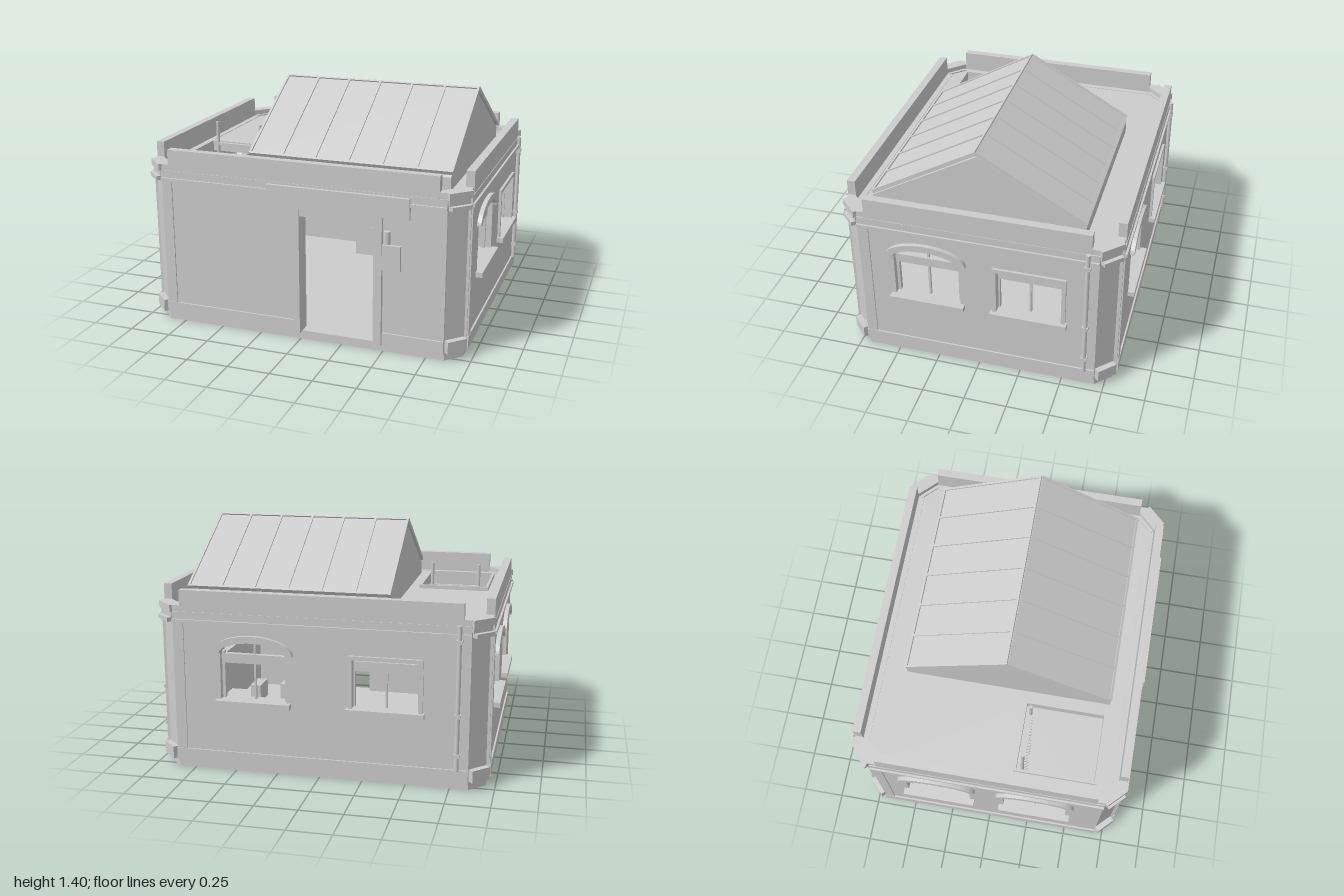
import * as THREE from 'three';

const stone = new THREE.MeshStandardMaterial({ color: 0xcccccc });
stone.name = 'pale grey';

function add(parent, name, geo) {
  const m = new THREE.Mesh(geo, stone);
  m.name = name;
  parent.add(m);
  return m;
}
// box given by its limits
function box(parent, name, x0, x1, y0, y1, z0, z1) {
  const m = add(parent, name, new THREE.BoxGeometry(x1 - x0, y1 - y0, z1 - z0));
  m.position.set((x0 + x1) / 2, (y0 + y1) / 2, (z0 + z1) / 2);
  return m;
}
function rod(parent, name, x, z, y0, y1, r) {
  const m = add(parent, name, new THREE.CylinderGeometry(r, r, y1 - y0, 12));
  m.position.set(x, (y0 + y1) / 2, z);
  return m;
}
function extrude(shape, depth) {
  return new THREE.ExtrudeGeometry(shape, { depth, bevelEnabled: false, curveSegments: 16 });
}
function path(points, Type = THREE.Path) {
  return new Type(points.map(p => new THREE.Vector2(p[0], p[1])));
}
function rectPath(x0, x1, y0, y1, Type) {
  return path([[x0, y0], [x1, y0], [x1, y1], [x0, y1]], Type);
}
// flat-bottomed opening, with a low elliptical head when arched
function opening(u, arched) {
  const h = 0.195;
  if (!arched) return rectPath(u - h, u + h, 0.44, 0.735);
  const p = new THREE.Path();
  p.moveTo(u - h, 0.44);
  p.lineTo(u + h, 0.44);
  p.lineTo(u + h, 0.715);
  p.absellipse(u, 0.715, h, 0.07, 0, Math.PI, false, 0);
  p.closePath();
  return p;
}
function octagon(hx, hz, c) {
  return path([[-hx + c, -hz], [hx - c, -hz], [hx, -hz + c], [hx, hz - c],
    [hx - c, hz], [-hx + c, hz], [-hx, hz - c], [-hx, -hz + c]], THREE.Shape);
}
// horizontal slab from a plan shape (plan y becomes z)
function slab(parent, name, shape, y0, y1) {
  const m = add(parent, name, extrude(shape, y1 - y0));
  m.rotation.x = Math.PI / 2;
  m.position.y = y1;
  return m;
}

// sill, surround and glazing bars; the wall face is at z = 0
function windowTrim(wall, u, arched) {
  const g = new THREE.Group();
  g.name = arched ? 'archedWindow' : 'squareWindow';
  g.position.x = u;
  wall.add(g);
  box(g, 'sill', -0.222, 0.222, 0.41, 0.44, -0.05, 0.04);
  if (arched) {
    const s = new THREE.Shape();
    s.moveTo(0.237, 0.72);
    s.absellipse(0, 0.72, 0.237, 0.105, 0, Math.PI, false, 0);
    s.lineTo(-0.195, 0.715);
    s.absellipse(0, 0.715, 0.195, 0.07, Math.PI, 0, true, 0);
    s.closePath();
    add(g, 'archTrim', extrude(s, 0.025));
  } else {
    for (const k of [-1, 1]) box(g, 'jamb', k * 0.2 - 0.012, k * 0.2 + 0.012, 0.44, 0.745, -0.04, 0.015);
    box(g, 'headRail', -0.2, 0.2, 0.722, 0.745, -0.04, 0.015);
  }
  for (const k of [-1, 1]) box(g, 'sashStile', k * 0.188 - 0.01, k * 0.188 + 0.01, 0.44, 0.72, -0.06, -0.035);
  box(g, 'transom', -0.195, 0.195, 0.65, 0.705, -0.06, -0.03);
  box(g, 'mullion', -0.006, 0.006, 0.44, arched ? 0.775 : 0.735, -0.055, -0.04);
}

// one outer wall in its own frame: x to the viewer's right, z outward
function makeWall(root, name, half, dist, turn, windows, door) {
  const g = new THREE.Group();
  g.name = name;
  g.rotation.y = turn;
  const w = new THREE.Group();
  w.name = name + 'Face';
  w.position.z = dist;
  g.add(w);
  root.add(g);
  const outline = door
    ? path([[-half, 0.05], [0.01, 0.05], [0.01, 0.77], [0.45, 0.77], [0.45, 0.05], [half, 0.05], [half, 0.945], [-half, 0.945]], THREE.Shape)
    : rectPath(-half, half, 0.05, 0.945, THREE.Shape);
  for (const [u, arched] of windows) outline.holes.push(opening(u, arched));
  add(w, 'wallPanel', extrude(outline, 0.08)).position.z = -0.08;
  const runs = door ? [[-half, -0.03], [0.5, half]] : [[-half, half]];
  for (const [a, b] of runs) box(w, 'baseBand', a, b, 0.05, 0.122, -0.02, 0.01);
  box(w, 'stringCourse', -half, half, 0.882, 0.902, -0.02, 0.018);
  box(w, 'cornice', -half, half, 0.902, 0.945, -0.02, 0.006);
  box(w, 'pilaster', -half + 0.01, -half + 0.065, 0.06, 0.882, -0.02, 0.008);
  box(w, 'lowParapet', -half, half, 0.945, 0.98, -0.045, 0);
  box(w, 'parapet', -half + 0.045, half - 0.045, 0.945, 1.07, -0.045, 0.003);
  for (const [u, arched] of windows) windowTrim(w, u, arched);
  return w;
}

// drainpipe with clips on a wall face
function drainpipe(wall, u) {
  rod(wall, 'drainpipe', u, 0.015, 0.12, 0.95, 0.013);
  for (const y of [0.2, 0.43, 0.85]) box(wall, 'pipeClip', u - 0.018, u + 0.018, y, y + 0.02, 0, 0.03);
}

function makeSkylight(root) {
  const g = new THREE.Group();
  g.name = 'skylight';
  g.position.z = 0.025;
  root.add(g);
  const x0 = -0.37, x1 = 0.84, run = 0.615, drop = 0.35;
  // gabled core under the glazing
  const gable = path([[-run, 0.94], [run, 0.94], [run, 1.018], [0, 1.365], [-run, 1.018]], THREE.Shape);
  const core = add(g, 'gable', extrude(gable, x1 - x0 - 0.02));
  core.rotation.y = Math.PI / 2;
  core.position.x = x0 + 0.01;
  const len = Math.hypot(run, drop);
  for (const side of [0, 1]) {
    const turn = new THREE.Group();
    turn.rotation.y = side * Math.PI;
    const slope = new THREE.Group();
    slope.name = side ? 'backSlope' : 'frontSlope';
    slope.position.y = 1.395;
    slope.rotation.x = Math.atan2(drop, run);
    turn.add(slope);
    g.add(turn);
    const a = side ? -x1 : x0, b = side ? -x0 : x1;
    box(slope, 'glassPane', a, b, -0.012, 0, 0, len);
    for (let i = 0; i <= 6; i++) {
      const x = a + 0.007 + (b - a - 0.014) * i / 6;
      box(slope, 'glazingBar', x - 0.007, x + 0.007, -0.015, 0.008, 0, len);
    }
    box(slope, 'eaveBar', a, b, -0.015, 0.008, len - 0.014, len);
    box(slope, 'ridgeBar', a, b, -0.015, 0.008, 0, 0.014);
  }
}

export function createModel() {
  const root = new THREE.Group();
  root.name = 'building';
  slab(root, 'floorBase', octagon(0.945, 0.785, 0.09), 0, 0.052);

  // walls
  const front = makeWall(root, 'frontWall', 0.855, 0.8, 0, [], true);
  const right = makeWall(root, 'rightWall', 0.695, 0.96, Math.PI / 2, [[-0.295, true], [0.305, false]]);
  const back = makeWall(root, 'backWall', 0.855, 0.805, Math.PI, [[-0.38, true], [0.385, false]]);
  makeWall(root, 'leftWall', 0.695, 0.96, -Math.PI / 2, [[-0.31, true], [0.29, true]]);
  drainpipe(right, 0.633);
  drainpipe(back, 0.79);

  // chamfered corners with blocks at foot and head
  for (const sx of [-1, 1]) for (const sz of [-1, 1]) {
    const c = new THREE.Group();
    c.name = 'corner';
    c.position.set(sx * 0.9, 0, sz * 0.74);
    c.rotation.y = Math.atan2(sx, sz);
    root.add(c);
    box(c, 'cornerWall', -0.066, 0.066, 0.03, 0.95, -0.07, 0);
    box(c, 'footBlock', -0.062, 0.062, 0.05, 0.122, -0.05, 0.035);
    box(c, 'headBlock', -0.062, 0.062, 0.88, 0.905, -0.05, 0.04);
    box(c, 'headNeck', -0.066, 0.066, 0.905, 0.945, -0.06, 0.015);
    box(c, 'cornerCap', -0.075, 0.075, 0.94, 0.98, -0.05, 0.028);
  }

  // doorway, fascia board, wall plate and lamp
  box(front, 'doorPost', -0.03, 0.01, 0.05, 0.81, -0.08, 0.025);
  box(front, 'doorPost', 0.45, 0.498, 0.05, 0.81, -0.08, 0.025);
  box(front, 'doorHead', -0.03, 0.498, 0.765, 0.81, -0.08, 0.022);
  box(front, 'fasciaBoard', -0.185, 0.652, 0.808, 0.932, -0.01, 0.026);
  box(front, 'wallPlate', 0.498, 0.602, 0.505, 0.652, -0.01, 0.02);
  rod(front, 'lamp', 0.53, 0.026, 0.665, 0.738, 0.018);

  // roof with an open hatch
  const roof = octagon(0.935, 0.775, 0.1);
  roof.holes.push(rectPath(-0.84, -0.44, 0.155, 0.615));
  slab(root, 'roof', roof, 0.905, 0.942);
  const curb = rectPath(-0.855, -0.425, 0.14, 0.63, THREE.Shape);
  curb.holes.push(rectPath(-0.84, -0.44, 0.155, 0.615));
  slab(root, 'hatchCurb', curb, 0.9, 0.965);
  for (const x of [-0.79, -0.5]) rod(root, 'ladderRail', x, 0.185, 0.05, 1.1, 0.01);
  for (let y = 0.15; y < 1; y += 0.1) box(root, 'ladderRung', -0.79, -0.5, y, y + 0.014, 0.178, 0.198);

  makeSkylight(root);

  // cabinets along the back wall inside
  box(root, 'counter', -0.1, 0.6, 0.05, 0.37, -0.72, -0.5);
  box(root, 'counterTop', -0.12, 0.62, 0.37, 0.4, -0.72, -0.48);
  for (const x of [-0.08, 0.13]) {
    const w = x < 0 ? 0.16 : 0.32;
    box(root, 'cabinetDoor', x, x + w, 0.13, 0.285, -0.51, -0.492);
    box(root, 'cabinetPanel', x + 0.08, x + w - 0.08 + (x < 0 ? 0.06 : 0), 0.175, 0.26, -0.5, -0.486);
  }
  box(root, 'storageBox', 0, 0.25, 0.4, 0.52, -0.7, -0.54);
  box(root, 'smallBox', 0.37, 0.43, 0.4, 0.5, -0.7, -0.56);
  return root;
}
